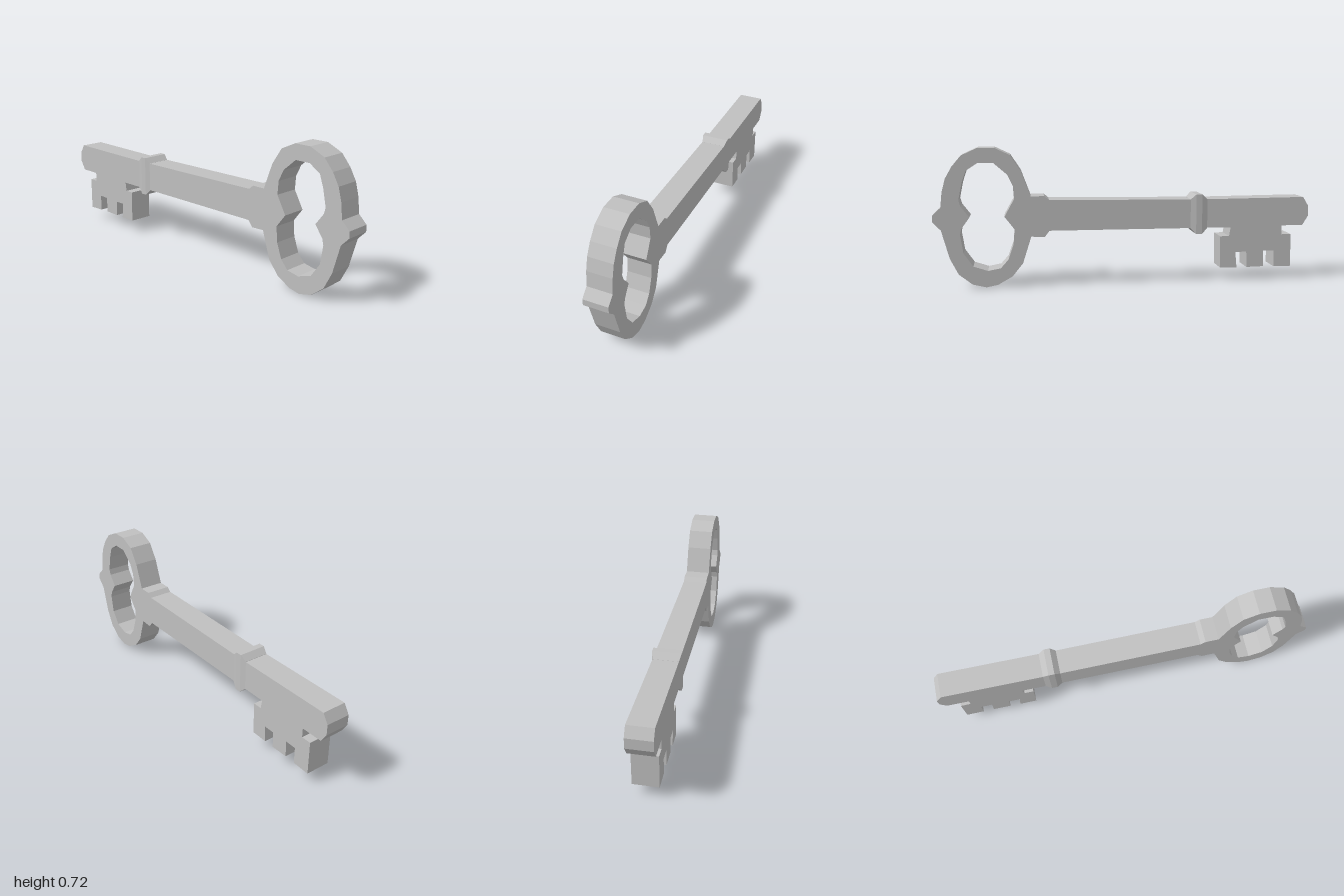
import * as THREE from 'three';

const HALF_DEPTH = 0.065;

// Flat plate cut from an outline, centred on z = 0
function plate(name, outline, material, hole) {
  const toPoints = (list) => list.map(([x, y]) => new THREE.Vector2(x, y));
  const shape = new THREE.Shape(toPoints(outline));
  if (hole) shape.holes.push(new THREE.Path(toPoints(hole)));
  const geometry = new THREE.ExtrudeGeometry(shape, { depth: 2 * HALF_DEPTH, bevelEnabled: false });
  geometry.translate(0, 0, -HALF_DEPTH);
  const mesh = new THREE.Mesh(geometry, material);
  mesh.name = name;
  return mesh;
}

// Band around the shaft: a box whose end rings are pulled in to the shaft
function collar(material) {
  const rings = [
    { x: -0.437, low: 0.29, high: 0.446, z: HALF_DEPTH },
    { x: -0.407, low: 0.26, high: 0.473, z: 0.073 },
    { x: -0.375, low: 0.26, high: 0.473, z: 0.073 },
    { x: -0.346, low: 0.29, high: 0.446, z: HALF_DEPTH },
  ];
  let geometry = new THREE.BoxGeometry(3, 2, 2, 3, 1, 1);
  const pos = geometry.attributes.position;
  for (let i = 0; i < pos.count; i++) {
    const ring = rings[Math.round(pos.getX(i) + 1.5)];
    pos.setXYZ(i, ring.x, pos.getY(i) > 0 ? ring.high : ring.low, Math.sign(pos.getZ(i)) * ring.z);
  }
  geometry = geometry.toNonIndexed();
  geometry.computeVertexNormals();
  const mesh = new THREE.Mesh(geometry, material);
  mesh.name = 'collar';
  return mesh;
}

export function createModel() {
  const metal = new THREE.MeshStandardMaterial({ color: 0xc0c0c0 });
  metal.name = 'grey metal';

  const key = new THREE.Group();
  key.name = 'key';

  // Shaft with a chamfered tip
  key.add(plate('shaft', [
    [-1, 0.345], [-0.97, 0.296], [-0.853, 0.295], [-0.567, 0.291], [0.405, 0.294],
    [0.405, 0.455], [-0.4, 0.445], [-0.97, 0.449], [-1, 0.4],
  ], metal));

  // Toothed bit below the tip
  key.add(plate('bit', [
    [-0.853, 0.295], [-0.853, 0.246], [-0.906, 0.246], [-0.906, 0.067], [-0.812, 0.07],
    [-0.812, 0.158], [-0.751, 0.158], [-0.754, 0.072], [-0.66, 0.07], [-0.657, 0.155],
    [-0.596, 0.155], [-0.604, 0.07], [-0.513, 0.07], [-0.51, 0.243], [-0.559, 0.243],
    [-0.567, 0.291],
  ], metal));

  key.add(collar(metal));

  // Oval bow with its shoulder, outer nub and pinched opening
  const bowOutline = [
    [0.405, 0.294], [0.43, 0.262], [0.5, 0.265], [0.545, 0.125], [0.6, 0.057],
    [0.675, 0.015], [0.735, 0.003], [0.805, 0.02], [0.875, 0.075], [0.918, 0.16],
    [0.958, 0.307], [1, 0.35], [1, 0.384], [0.957, 0.425], [0.948, 0.505],
    [0.93, 0.573], [0.896, 0.633], [0.848, 0.69], [0.767, 0.727], [0.68, 0.727],
    [0.602, 0.69], [0.548, 0.607], [0.5, 0.476], [0.43, 0.476], [0.405, 0.455],
  ];
  const bowOpening = [
    [0.636, 0.372], [0.585, 0.305], [0.592, 0.225], [0.62, 0.147], [0.66, 0.102],
    [0.725, 0.09], [0.8, 0.115], [0.848, 0.185], [0.863, 0.28], [0.856, 0.313],
    [0.813, 0.372], [0.857, 0.43], [0.866, 0.462], [0.848, 0.548], [0.826, 0.612],
    [0.767, 0.65], [0.687, 0.65], [0.618, 0.59], [0.59, 0.532], [0.585, 0.463],
  ];
  key.add(plate('bow', bowOutline, metal, bowOpening));

  return key;
}
